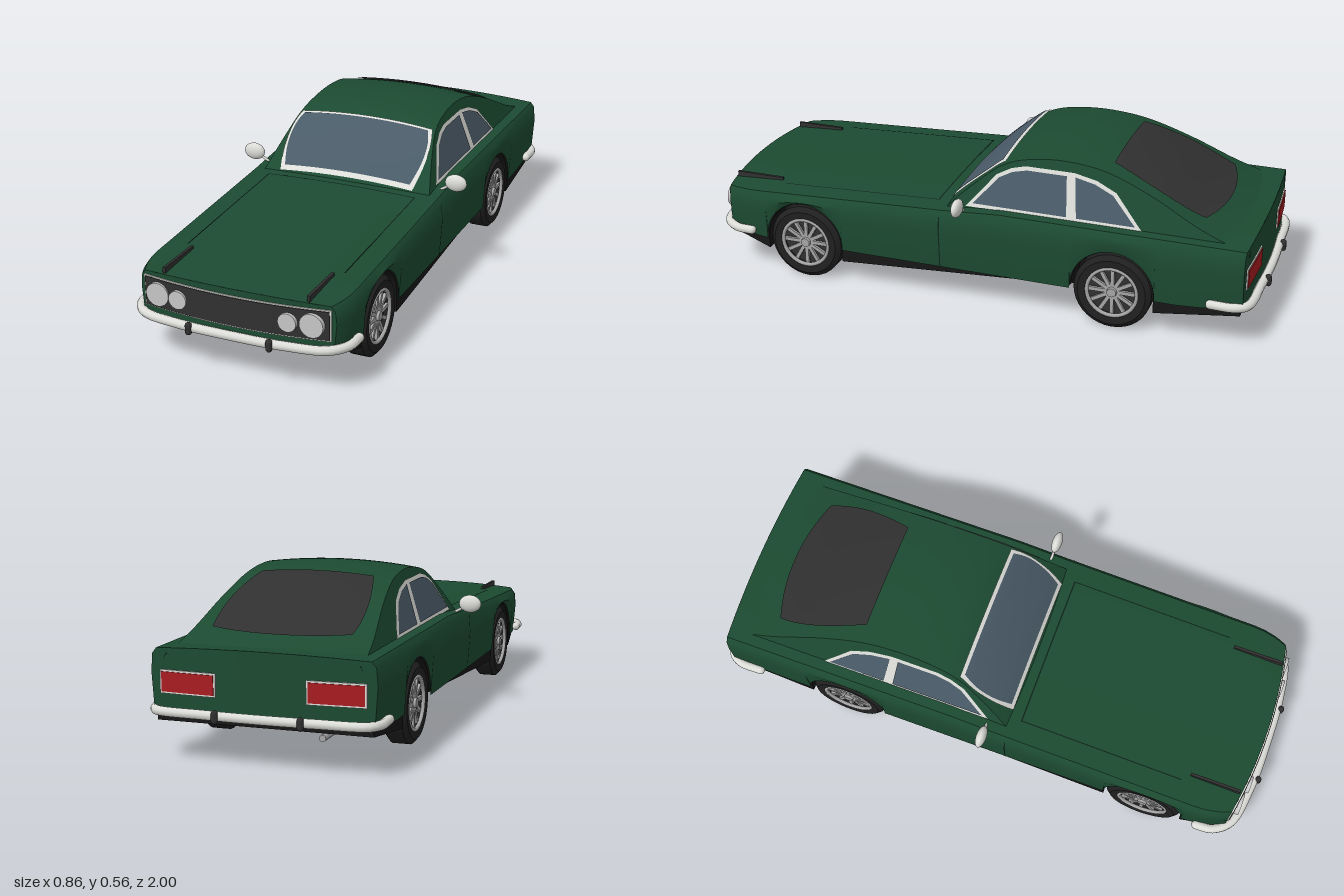
import * as THREE from 'three';
import { toCreasedNormals } from 'three/addons/utils/BufferGeometryUtils.js';

const mat = (name, color) => {
  const m = new THREE.MeshStandardMaterial({ color, side: THREE.DoubleSide });
  m.name = name;
  return m;
};
const { lerp, clamp, mapLinear } = THREE.MathUtils;
const SIDES = [1, -1];
const AXLES = [0.627, -0.503], AXLE_Y = 0.135, ARCH_R = 0.146;

// Body rules: half width, edge height, crown and lower edge along z
const halfWidth = z => z > 0.8 ? 0.37 - 0.03 * ((z - 0.8) / 0.16) ** 2 : 0.37;
const edgeY = z => z > 0.1 ? mapLinear(z, 0.1, 0.96, 0.342, 0.302)
  : lerp(0.342, 0.356, clamp((0.1 - z) / 0.2, 0, 1));
const topY = (x, z) => edgeY(z) + 0.01 * (1 - (x / (halfWidth(z) * 0.95)) ** 2);
// Nose and tail bow in plan
const bend = (x, z) => {
  const a = clamp((Math.abs(z) - 0.75) / 0.21, 0, 1);
  return z - Math.sign(z) * (z > 0 ? 0.04 : 0.015) * a * a * (x / 0.37) ** 2;
};
function lowerY(z) {
  let y = 0.13 + 0.02 * clamp((Math.abs(z) - 0.75) / 0.2, 0, 1);
  for (const c of AXLES) {
    const d = ARCH_R ** 2 - (z - c) ** 2;
    if (d > 0) y = Math.max(y, AXLE_Y + 0.005 + Math.sqrt(d));
  }
  return y;
}
// Half section from lower edge to centre line
function section(z) {
  const w = halfWidth(z), t = edgeY(z), b = lowerY(z);
  const pts = [[w * 0.975, b], [w, lerp(b, t - 0.02, 0.7)], [w * 0.988, t - 0.018]];
  for (const f of [0.95, 0.72, 0.48, 0.24, 0]) pts.push([w * f, topY(w * f, z)]);
  return pts;
}

// Surface from a rule on a u, v grid
function grid(nu, nv, fn, crease = 0.6) {
  const pos = [], idx = [];
  for (let j = 0; j <= nv; j++) for (let i = 0; i <= nu; i++) pos.push(...fn(i / nu, j / nv));
  for (let j = 0; j < nv; j++) for (let i = 0; i < nu; i++) {
    const a = j * (nu + 1) + i, d = a + nu + 1;
    idx.push(a, a + 1, d, a + 1, d + 1, d);
  }
  const g = new THREE.BufferGeometry();
  g.setAttribute('position', new THREE.Float32BufferAttribute(pos, 3));
  g.setIndex(idx);
  return toCreasedNormals(g, crease);
}
// Thin box that follows the bowed nose or tail
function bentBox(w, h, x, y, z) {
  const g = new THREE.BoxGeometry(w, h, 0.006, 16, 1, 1).translate(x, y, z);
  const p = g.attributes.position;
  for (let i = 0; i < p.count; i++) p.setZ(i, bend(p.getX(i), p.getZ(i)));
  g.computeVertexNormals();
  return g;
}

// Cabin: centre-line profile and leaning sides
const roofLine = new THREE.SplineCurve([
  [0.11, 0.348], [0.05, 0.41], [-0.03, 0.48], [-0.09, 0.522], [-0.17, 0.548], [-0.3, 0.56],
  [-0.45, 0.543], [-0.61, 0.487], [-0.77, 0.412], [-0.89, 0.369], [-0.95, 0.358],
].map(p => new THREE.Vector2(...p)));
const sideX = y => 0.315 - (y - 0.35) * 0.33;
const CROWN = 0.018;
function roofAt(s, x, lift = 0) {
  const p = roofLine.getPoint(s), r = sideX(p.y - CROWN);
  return [x, p.y - CROWN * (x / r) ** 2 + lift, p.x];
}

export function createModel() {
  const car = new THREE.Group();
  car.name = 'coupe';
  const paint = mat('green paint', 0x1c4a31), black = mat('black underbody', 0x161616);
  const rubber = mat('tyre rubber', 0x202020), dark = mat('dark grey', 0x303030);
  const chrome = mat('chrome', 0xdcdcd8), glass = mat('window glass', 0x4a5b68);
  const lamp = mat('lamp lens', 0xc6c6c6), red = mat('tail lamp red', 0xa81c20);
  const alloy = mat('wheel alloy', 0xa6a6a6), seam = mat('panel gap', 0x0d2418);
  const add = (name, geo, m, parent = car) => {
    const o = new THREE.Mesh(geo, m);
    o.name = name;
    parent.add(o);
    return o;
  };

  // Painted body shell with wheel arches
  let zs = [-0.96, -0.93, -0.87, -0.8, -0.72, -0.3, -0.1, 0.1, 0.3, 0.8, 0.85, 0.9, 0.93, 0.96];
  for (const c of AXLES) for (let i = 0; i <= 20; i++) zs.push(c + ARCH_R * Math.cos(Math.PI * i / 20));
  for (const c of AXLES) zs.push(c + ARCH_R + 0.0005, c - ARCH_R - 0.0005);
  zs.sort((a, b) => a - b);
  add('bodyShell', grid(14, zs.length - 1, (u, v) => {
    const z = zs[Math.round(v * (zs.length - 1))], k = Math.round(u * 14), s = section(z);
    const [px, y] = s[k < 8 ? k : 14 - k], x = k < 8 ? px : -px;
    return [x, y, bend(x, z)];
  }), paint);
  for (const e of SIDES) {
    const s = section(e * 0.96);
    add(e > 0 ? 'nosePanel' : 'tailPanel', grid(16, 3, (u, v) => {
      const k = Math.round(v * 3), x = e * (2 * u - 1) * s[k][0];
      return [x, k === 3 ? topY(x, e * 0.96) : s[k][1], bend(x, e * 0.96)];
    }), paint);
  }

  // Black sills and underside with wheel wells
  const low = new THREE.Shape();
  low.moveTo(0.95, 0.15);
  low.lineTo(0.9, 0.127);
  low.lineTo(AXLES[0] + 0.143, 0.092);
  for (const c of AXLES) {
    low.lineTo(c + 0.143, 0.14);
    low.absarc(c, 0.14, 0.143, 0, Math.PI, false);
    low.lineTo(c - 0.143, 0.084);
  }
  low.lineTo(-0.95, 0.125);
  low.lineTo(-0.95, 0.27);
  low.lineTo(-0.8, 0.295);
  low.lineTo(0.8, 0.295);
  low.lineTo(0.9, 0.27);
  low.lineTo(0.95, 0.26);
  const under = new THREE.ExtrudeGeometry(low, { depth: 2, bevelEnabled: false, curveSegments: 20 });
  under.translate(0, 0, -1).rotateY(-Math.PI / 2);
  const up = under.attributes.position;
  for (let i = 0; i < up.count; i++) {
    const z = up.getZ(i), x = up.getX(i) * halfWidth(z) * 0.96;
    up.setXYZ(i, x, up.getY(i), bend(x, z));
  }
  under.computeVertexNormals();
  add('underbody', under, black);
  add('chassis', new THREE.BoxGeometry(0.52, 0.18, 1.55).translate(0, 0.185, 0.05), black);

  // Cabin, windscreen and rear window
  add('cabin', grid(14, 60, (u, v) => {
    const k = Math.round(u * 14), p = roofLine.getPoint(v), r = sideX(p.y - CROWN);
    if (k === 0 || k === 14) return [(k ? 1 : -1) * sideX(0.325), 0.325, p.x];
    return roofAt(v, r * (k - 7) / 6);
  }), paint);
  const pane = (s0, s1, width, bow, lift) => grid(16, 20, (u, v) => {
    const t = 2 * u - 1;
    return roofAt(lerp(s0, s1, v) - bow * t * t * v, t * width(v), lift);
  });
  add('windscreenTrim', pane(0.022, 0.305, v => 0.253 + 0.017 * Math.sin(Math.PI * v), 0, 0.006), chrome);
  add('windscreen', pane(0.042, 0.285, v => 0.24 + 0.02 * Math.sin(Math.PI * v), 0, 0.01), glass);
  add('rearWindow', pane(0.605, 0.842, v => 0.195 + 0.045 * Math.sin(v * 2.1), 0.032, 0.006), dark);

  // Side windows
  const plate = (name, pts, out, m) => {
    for (const s of SIDES) {
      const g = new THREE.ShapeGeometry(new THREE.Shape(pts.map(p => new THREE.Vector2(...p))));
      const p = g.attributes.position;
      for (let i = 0; i < p.count; i++) p.setXYZ(i, s * (sideX(p.getY(i)) + out), p.getY(i), p.getX(i));
      g.computeVertexNormals();
      add(name, g, m);
    }
  };
  plate('sideWindowTrim', [[0.03, 0.355], [-0.07, 0.472], [-0.12, 0.498], [-0.17, 0.51], [-0.34, 0.51],
    [-0.42, 0.495], [-0.49, 0.465], [-0.59, 0.355]], 0.003, chrome);
  plate('doorWindow', [[0.005, 0.368], [-0.08, 0.464], [-0.125, 0.487], [-0.175, 0.498], [-0.315, 0.498],
    [-0.328, 0.368]], 0.006, glass);
  plate('quarterWindow', [[-0.362, 0.368], [-0.345, 0.498], [-0.415, 0.484], [-0.48, 0.457],
    [-0.565, 0.368]], 0.006, glass);

  // Panel gaps
  const topSeam = (name, x0, x1, z0, z1) => add(name, grid(8, 12, (u, v) => {
    const x = lerp(x0, x1, u), z = lerp(z0, z1, v);
    return [x, topY(x, z) + 0.002, z];
  }), seam);
  topSeam('bonnetRearGap', -0.28, 0.28, 0.139, 0.144);
  topSeam('bootGap', -0.23, 0.23, -0.856, -0.851);
  for (const s of SIDES) {
    topSeam('bonnetSideGap', s * 0.277, s * 0.281, 0.14, 0.73);
    add('doorGap', grid(2, 1, (u, v) => {
      const [x, y] = section(0.11)[Math.round(u * 2)];
      return [s * (x + 0.0015), y, 0.108 + v * 0.004];
    }), seam);
    add('wingFin', new THREE.BoxGeometry(0.01, 0.03, 0.18).translate(s * 0.25, 0.311, 0.845), dark);
  }

  // Grille with four lamps, tail lamps
  add('grilleTrim', bentBox(0.65, 0.106, 0, 0.237, 0.961), chrome);
  add('grille', bentBox(0.64, 0.097, 0, 0.237, 0.964), dark);
  for (const s of SIDES) {
    for (const [x, r] of [[0.267, 0.04], [0.19, 0.031]]) {
      const g = new THREE.CylinderGeometry(r, r, 0.022, 28).rotateX(Math.PI / 2);
      add('headlamp', g, lamp).position.set(s * x, 0.237, bend(x, 0.966));
    }
    add('tailLampTrim', bentBox(0.19, 0.075, s * 0.243, 0.252, -0.961), chrome);
    add('tailLamp', bentBox(0.178, 0.063, s * 0.243, 0.252, -0.964), red);
  }

  // Bumpers with overriders
  for (const e of SIDES) {
    const half = e > 0 ? [[0.372, 0.83], [0.366, 0.89], [0.32, 0.945], [0.18, 0.972]]
      : [[0.372, -0.84], [0.37, -0.92], [0.345, -0.957], [0.18, -0.972]];
    const path = [...half, [0, e * 0.978], ...half.slice().reverse().map(([x, z]) => [-x, z])];
    const curve = new THREE.CatmullRomCurve3(path.map(([x, z]) => new THREE.Vector3(x, 0.16, z)));
    const name = e > 0 ? 'frontBumper' : 'rearBumper';
    add(name, new THREE.TubeGeometry(curve, 60, 0.0155, 10), chrome);
    for (const s of SIDES) {
      add(name + 'End', new THREE.SphereGeometry(0.0155, 12, 8), chrome).position.set(s * 0.372, 0.16, half[0][1]);
      add('overrider', new THREE.CapsuleGeometry(0.011, 0.022, 4, 10), dark).position.set(s * 0.14, 0.16, e * 0.989);
    }
  }

  // Door mirrors
  for (const s of SIDES) {
    const m = add('mirror', new THREE.SphereGeometry(1, 18, 12), chrome);
    m.scale.set(0.04, 0.031, 0.018);
    m.position.set(s * 0.39, 0.378, 0.033);
    const stalk = new THREE.LineCurve3(new THREE.Vector3(s * 0.325, 0.34, 0.03), new THREE.Vector3(s * 0.375, 0.37, 0.033));
    add('mirrorStalk', new THREE.TubeGeometry(stalk, 1, 0.005, 8), chrome);
  }

  // Exhaust pipe
  add('exhaust', new THREE.CylinderGeometry(0.011, 0.011, 0.12, 12).rotateX(Math.PI / 2), alloy).position.set(-0.2, 0.115, -0.9);

  // Wheels with spoked rims
  const tyre = toCreasedNormals(new THREE.LatheGeometry([[0.088, -0.04], [0.118, -0.0425], [0.135, -0.028],
    [0.135, 0.028], [0.118, 0.0425], [0.093, 0.04], [0.09, 0.015]].map(p => new THREE.Vector2(...p)), 36), 0.5);
  for (const z of AXLES) for (const s of SIDES) {
    const w = new THREE.Group();
    w.name = 'wheel';
    w.position.set(s * 0.3175, AXLE_Y, z);
    w.rotation.z = -s * Math.PI / 2;
    add('tyre', tyre, rubber, w);
    add('wheelDisc', new THREE.CylinderGeometry(0.091, 0.091, 0.05, 28).translate(0, -0.01, 0), dark, w);
    add('rim', new THREE.TorusGeometry(0.087, 0.007, 8, 36).rotateX(Math.PI / 2).translate(0, 0.036, 0), alloy, w);
    add('hub', new THREE.CylinderGeometry(0.016, 0.022, 0.03, 16).translate(0, 0.026, 0), alloy, w);
    for (let i = 0; i < 12; i++) {
      const g = new THREE.BoxGeometry(0.07, 0.01, 0.013).translate(0.051, 0.027, 0).rotateY(i * Math.PI / 6);
      add('spoke', g, alloy, w);
    }
    car.add(w);
  }
  return car;
}
